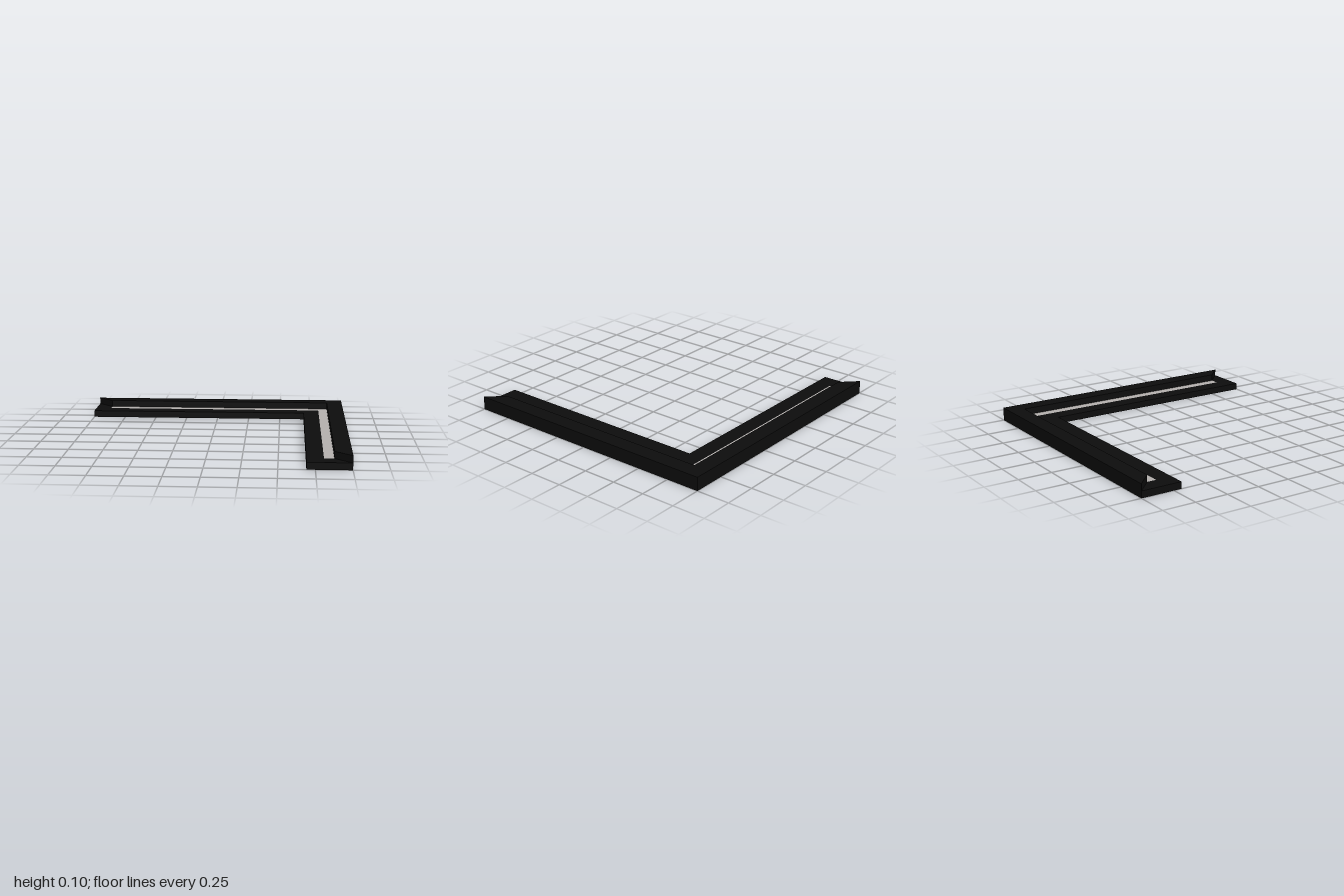
import * as THREE from 'three';

const OUT = 1;      // outer edge of the corner frame
const MID = 0.88;   // outer edge of the light strip
const IN = 0.81;    // inner edge of the light strip
const EDGE = 0.69;  // inner edge of the frame
const STEP = 0.05;  // height of the lower slab

// Points are given as [x, z]; the outline is laid flat with y up
const toPoints = (pts) => pts.map(([x, z]) => new THREE.Vector2(x, -z));

// L-shaped outline: outer offset a, inner offset b, arm length e
const corner = (a, b, e) => toPoints([
  [-e, -a], [-e, -b], [b, -b], [b, e], [a, e], [a, -a],
]);

function slab(shape, y, height) {
  const geo = new THREE.ExtrudeGeometry(shape, { depth: height, bevelEnabled: false });
  geo.rotateX(-Math.PI / 2);
  geo.translate(0, y, 0);
  return geo;
}

export function createModel() {
  const black = new THREE.MeshStandardMaterial({ color: 0x0d0d0d });
  black.name = 'black frame';
  const light = new THREE.MeshStandardMaterial({ color: 0xb5b1af, side: THREE.DoubleSide });
  light.name = 'pale strip';

  const group = new THREE.Group();
  group.name = 'cornerFrame';
  const add = (name, geo, mat) => {
    const mesh = new THREE.Mesh(geo, mat);
    mesh.name = name;
    group.add(mesh);
  };

  // Lower slab with a slot that follows both arms
  const base = new THREE.Shape(corner(OUT, EDGE, OUT));
  base.holes.push(new THREE.Path(corner(MID, IN, MID)));
  add('lowerSlab', slab(base, 0, STEP), black);

  // Raised outer rim, mitred at the ends of the arms
  const rim = new THREE.Shape(toPoints([
    [-OUT, -OUT], [-MID, -MID], [MID, -MID], [MID, MID], [OUT, OUT], [OUT, -OUT],
  ]));
  add('outerRim', slab(rim, STEP, 0.05), black);

  // Thin strip closing the top of the slot
  const strip = new THREE.ShapeGeometry(new THREE.Shape(corner(MID, IN, MID)));
  strip.rotateX(-Math.PI / 2);
  strip.translate(0, STEP, 0);
  add('lightStrip', strip, light);

  return group;
}
